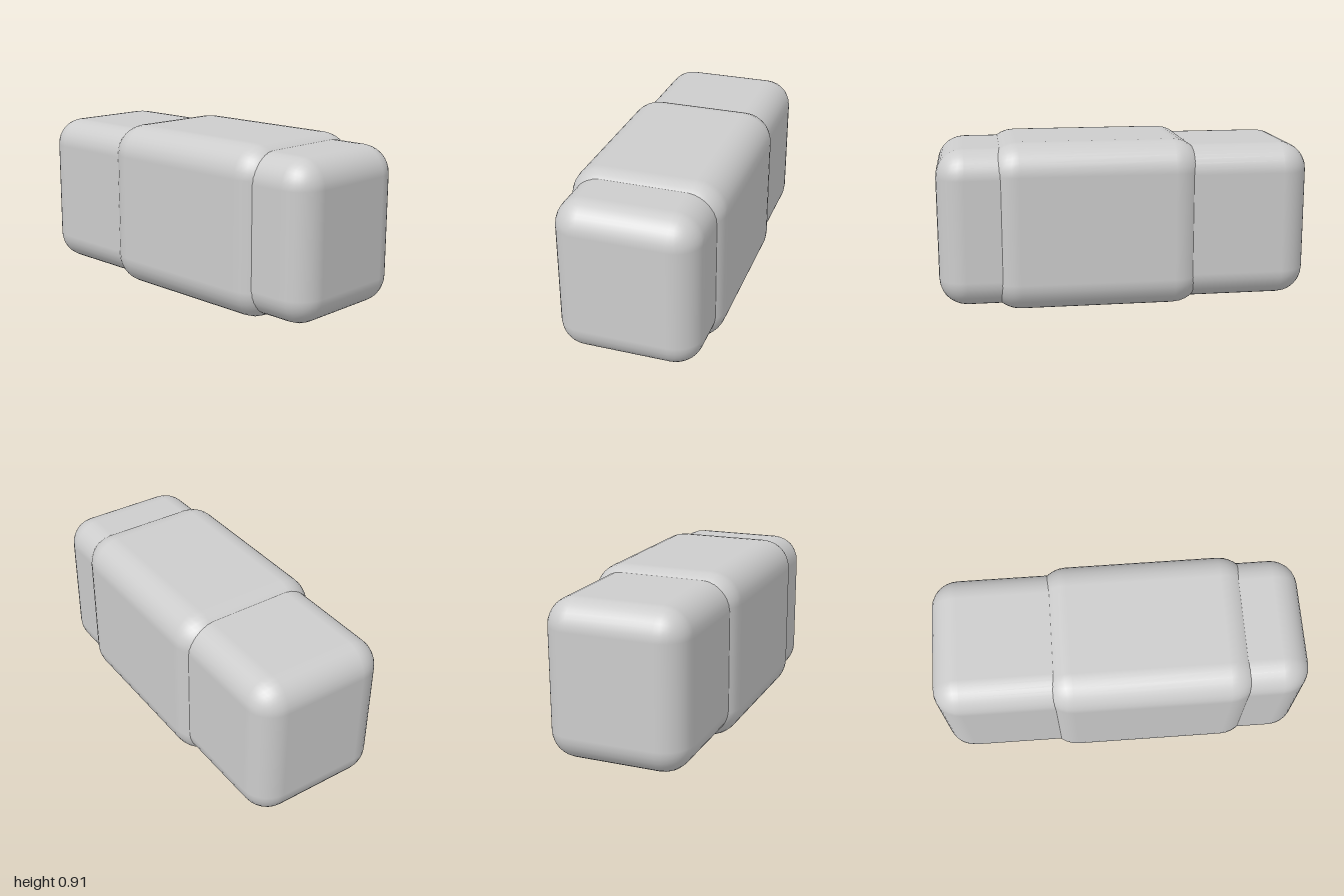
import * as THREE from 'three';
import { RoundedBoxGeometry } from 'three/addons/geometries/RoundedBoxGeometry.js';

export function createModel() {
  const group = new THREE.Group();
  group.name = 'sleevedBlock';
  const grey = new THREE.MeshStandardMaterial({ color: 0xcccccc });
  grey.name = 'light grey';

  const roundedBlock = (name, width, height, depth, radius, x) => {
    const mesh = new THREE.Mesh(new RoundedBoxGeometry(width, height, depth, 4, radius), grey);
    mesh.name = name;
    mesh.position.set(x, 0.453, 0);
    group.add(mesh);
  };

  // Long core running the full length
  roundedBlock('core', 2, 0.845, 0.763, 0.15, 0);
  // Slightly thicker sleeve around it, set towards the left end
  roundedBlock('sleeve', 1.155, 0.906, 0.826, 0.165, 0.155);

  return group;
}
